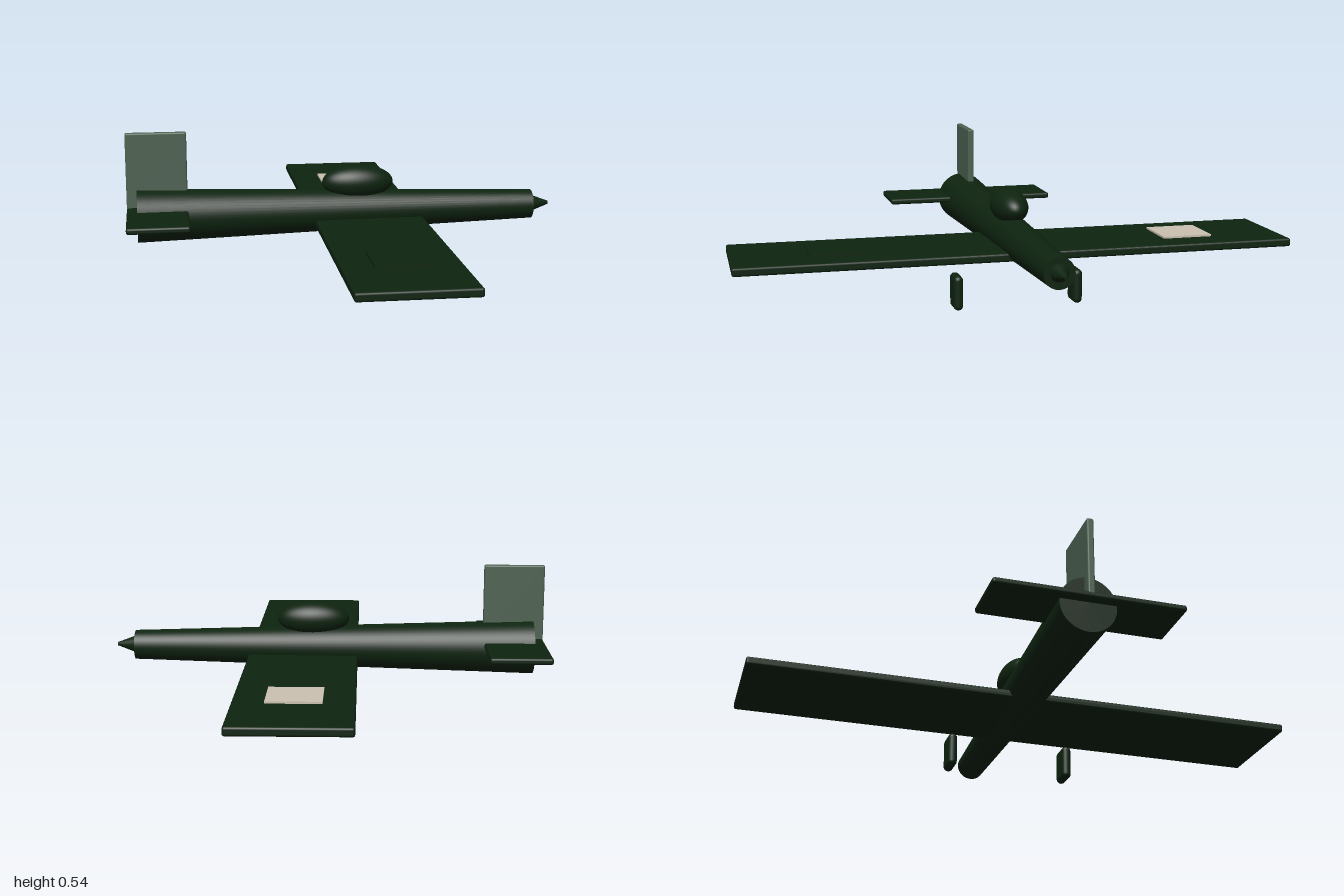
import * as THREE from 'three';
import { RoundedBoxGeometry } from 'three/addons/geometries/RoundedBoxGeometry.js';

export function createModel() {
  const model = new THREE.Group();
  model.name = 'airplane';

  const material = (name, color) => {
    const m = new THREE.MeshStandardMaterial({ color });
    m.name = name;
    return m;
  };
  const darkGreen = material('dark green', 0x0e2410);
  const greyGreen = material('grey green', 0x4e6353);
  const cream = material('cream', 0xcdc2b3);

  const add = (name, geometry, mat, x, y, z) => {
    const mesh = new THREE.Mesh(geometry, mat);
    mesh.name = name;
    mesh.position.set(x, y, z);
    model.add(mesh);
    return mesh;
  };
  const rounded = (w, h, d, r) => new RoundedBoxGeometry(w, h, d, 3, r);
  // Tapered tube lying along x, nose towards +x
  const taper = (rNose, rTail, length) =>
    new THREE.CylinderGeometry(rNose, rTail, length, 48).rotateZ(-Math.PI / 2);

  // Body
  add('fuselage', taper(0.053, 0.097, 1.45), darkGreen, -0.015, 0.238, 0);
  add('spinner', taper(0.006, 0.032, 0.07), darkGreen, 0.742, 0.24, 0);
  add('canopy', new THREE.SphereGeometry(1, 40, 24).scale(0.13, 0.061, 0.064), darkGreen, 0.058, 0.341, 0);

  // Flying surfaces
  add('wing', rounded(0.396, 0.03, 2, 0.008), darkGreen, 0.094, 0.201, 0);
  add('tailplane', rounded(0.217, 0.022, 0.652, 0.008), darkGreen, -0.668, 0.258, 0);
  add('tailFin', rounded(0.217, 0.28, 0.024, 0.006), greyGreen, -0.668, 0.399, 0);

  // Wing panels: one cream, one matching the wing
  const panel = new THREE.BoxGeometry(0.184, 0.009, 0.184);
  add('rightPanel', panel, cream, 0.093, 0.2185, -0.641);
  add('leftPanel', panel, darkGreen, 0.093, 0.2185, 0.641);

  // Landing gear pads under the wing
  for (const side of [-1, 1]) {
    add('landingGear', rounded(0.09, 0.124, 0.034, 0.0165), darkGreen, 0.167, 0.062, side * 0.218);
  }
  return model;
}
